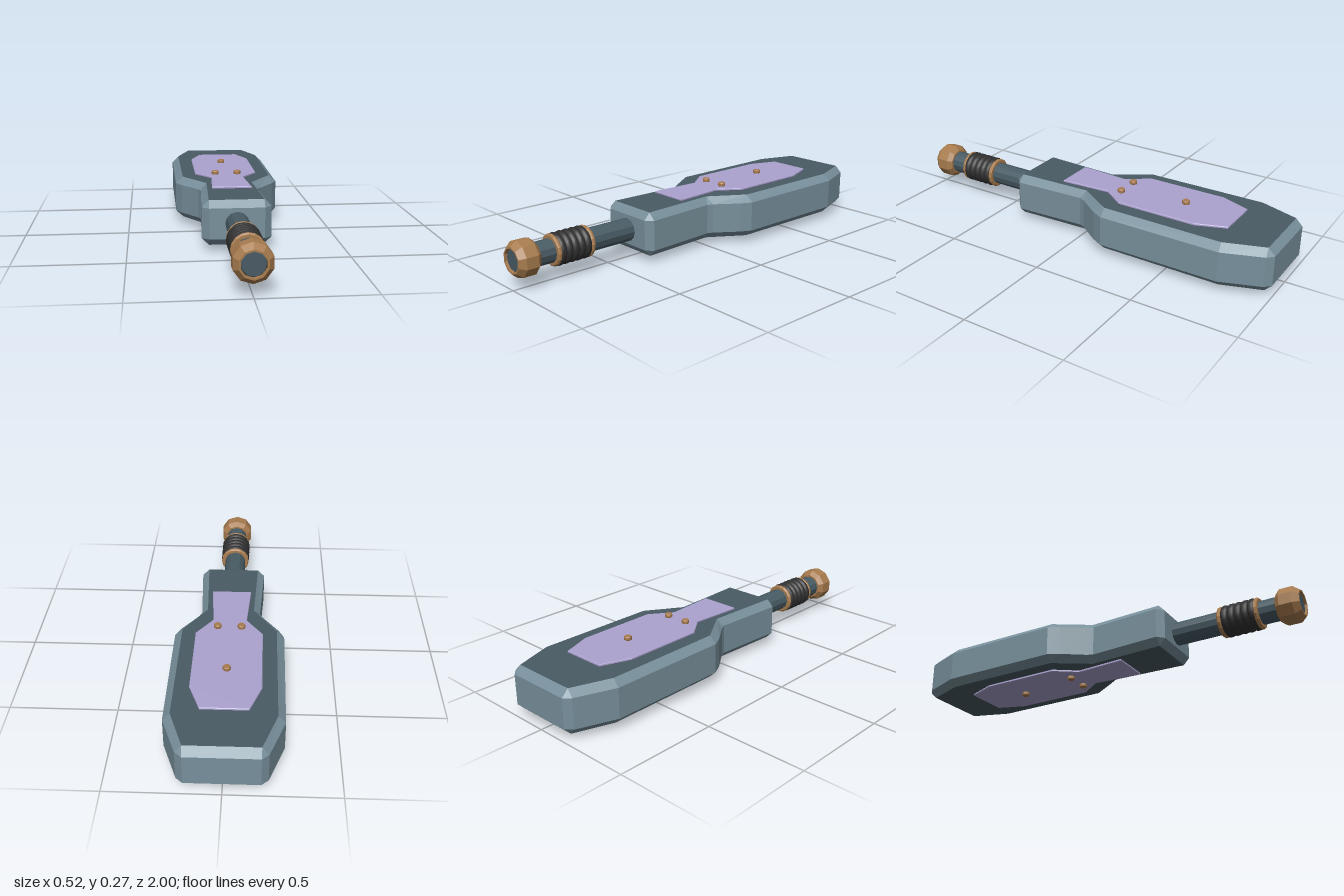
import * as THREE from 'three';

const mat = (name, color) => {
  const m = new THREE.MeshStandardMaterial({ color });
  m.name = name;
  return m;
};

export function createModel() {
  const group = new THREE.Group();
  const steel = mat('light steel', 0x78909c);
  const darkSteel = mat('dark steel', 0x485b64);
  const lavender = mat('lavender', 0xaca3d0);
  const copper = mat('copper', 0xa87c4f);
  const rubber = mat('black rubber', 0x303030);
  const AXIS = 0.135; // height of the shaft axis and of the middle plane

  const add = (name, geo, material, x = 0, y = 0, z = 0) => {
    const mesh = new THREE.Mesh(geo, material);
    mesh.name = name;
    mesh.position.set(x, y, z);
    group.add(mesh);
    return mesh;
  };
  const facet = (geo) => {
    const g = geo.index ? geo.toNonIndexed() : geo;
    g.computeVertexNormals();
    return g;
  };
  // turned part with its axis along y
  const turned = (profile, sides, flat = true) => {
    const g = new THREE.LatheGeometry(profile.map(([r, h]) => new THREE.Vector2(r, h)), sides);
    return flat ? facet(g) : g;
  };
  // full outline from its +x half, listed from back to front
  const mirrored = (half) => [...half, ...half.map(([x, z]) => [-x, z]).reverse()];
  const shapeOf = (pts, sign) => new THREE.Shape(pts.map(([x, z]) => new THREE.Vector2(x, sign * z)));

  // Body: inset cap outline, and wide outline of the walls (sharp corners are chamfered)
  const cap = mirrored([
    [0.16, -0.967], [0.16, -0.967], [0.225, -0.78], [0.222, -0.19], [0.222, -0.19],
    [0.112, -0.02], [0.112, -0.02], [0.127, 0.35], [0.127, 0.35],
  ]);
  const wall = mirrored([
    [0.16, -1], [0.19, -0.972], [0.258, -0.785], [0.258, -0.19], [0.23, -0.135],
    [0.153, -0.028], [0.142, 0], [0.16, 0.35], [0.127, 0.38],
  ]);
  const rings = [[cap, 0.03], [wall, 0.063], [wall, 0.207], [cap, 0.24]]
    .map(([pts, y]) => pts.map(([x, z]) => new THREE.Vector3(x, y, z)));
  const verts = [];
  const tri = (a, b, c) => {
    if (a.equals(b) || b.equals(c) || a.equals(c)) return;
    for (const p of [a, b, c]) verts.push(p.x, p.y, p.z);
  };
  for (let k = 0; k < 3; k++) {
    const lo = rings[k], hi = rings[k + 1];
    for (let i = 0; i < lo.length; i++) {
      const j = (i + 1) % lo.length;
      tri(lo[i], hi[i], lo[j]);
      tri(lo[j], hi[i], hi[j]);
    }
  }
  const shell = new THREE.BufferGeometry();
  shell.setAttribute('position', new THREE.Float32BufferAttribute(verts, 3));
  shell.computeVertexNormals();
  add('bodyShell', shell, steel);

  // Dark top and bottom faces
  const capPts = cap.filter((p, i) => {
    const q = cap[(i + 1) % cap.length];
    return p[0] !== q[0] || p[1] !== q[1];
  });
  add('bodyTop', new THREE.ShapeGeometry(shapeOf(capPts, -1)).rotateX(-Math.PI / 2), darkSteel, 0, 0.24);
  add('bodyBottom', new THREE.ShapeGeometry(shapeOf(capPts, 1)).rotateX(Math.PI / 2), darkSteel, 0, 0.03);

  // Inlay plates with three bolts each, on both faces
  const plateOutline = mirrored([
    [0.105, -0.755], [0.157, -0.615], [0.157, -0.226], [0.08, -0.118], [0.096, 0.127],
  ]);
  const plate = new THREE.ExtrudeGeometry(shapeOf(plateOutline, -1), {
    depth: 0.006, bevelThickness: 0.003, bevelSize: 0.003, bevelOffset: -0.003, bevelSegments: 1,
  }).rotateX(-Math.PI / 2);
  const bolt = turned([[0, -0.01], [0.015, -0.01], [0.018, -0.006], [0.018, 0.006], [0.015, 0.01], [0, 0.01]], 12);
  for (const [side, s] of [['top', 1], ['bottom', -1]]) {
    add(side + 'Plate', plate, lavender, 0, AXIS + s * 0.111 - 0.003);
    for (const [x, z] of [[0, -0.495], [-0.056, -0.18], [0.056, -0.18]]) {
      add(side + 'Bolt', bolt, copper, x, AXIS + s * 0.125, z);
    }
  }

  // Parts on the shaft, turned along z
  const onShaft = (name, profile, sides, material, flat) =>
    add(name, turned(profile, sides, flat).rotateX(Math.PI / 2), material, 0, AXIS);

  onShaft('shaft', [[0, 0.34], [0.055, 0.34], [0.055, 0.98], [0.049, 0.99], [0, 0.99]], 12, darkSteel);

  // Ribbed grip
  const grip = [[0.05, 0.625]];
  const ribs = 5, pitch = 0.033;
  for (let i = 0; i < ribs; i++) {
    const z = 0.63 + i * pitch;
    grip.push([0.066, z], [0.074, z + pitch * 0.2], [0.076, z + pitch * 0.5], [0.074, z + pitch * 0.8], [0.066, z + pitch]);
  }
  grip.push([0.05, 0.8]);
  onShaft('grip', grip, 20, rubber, false);

  // Collars at both ends of the grip
  for (const z of [0.622, 0.798]) {
    onShaft('gripCollar', [
      [0.05, z - 0.01], [0.068, z - 0.01], [0.074, z - 0.004], [0.074, z + 0.004], [0.068, z + 0.01], [0.05, z + 0.01],
    ], 16, copper);
  }

  // Faceted end nut
  onShaft('endNut', [
    [0.05, 0.89], [0.065, 0.89], [0.085, 0.912], [0.085, 0.972], [0.062, 1], [0.054, 1], [0.054, 0.975],
  ], 10, copper);

  return group;
}
